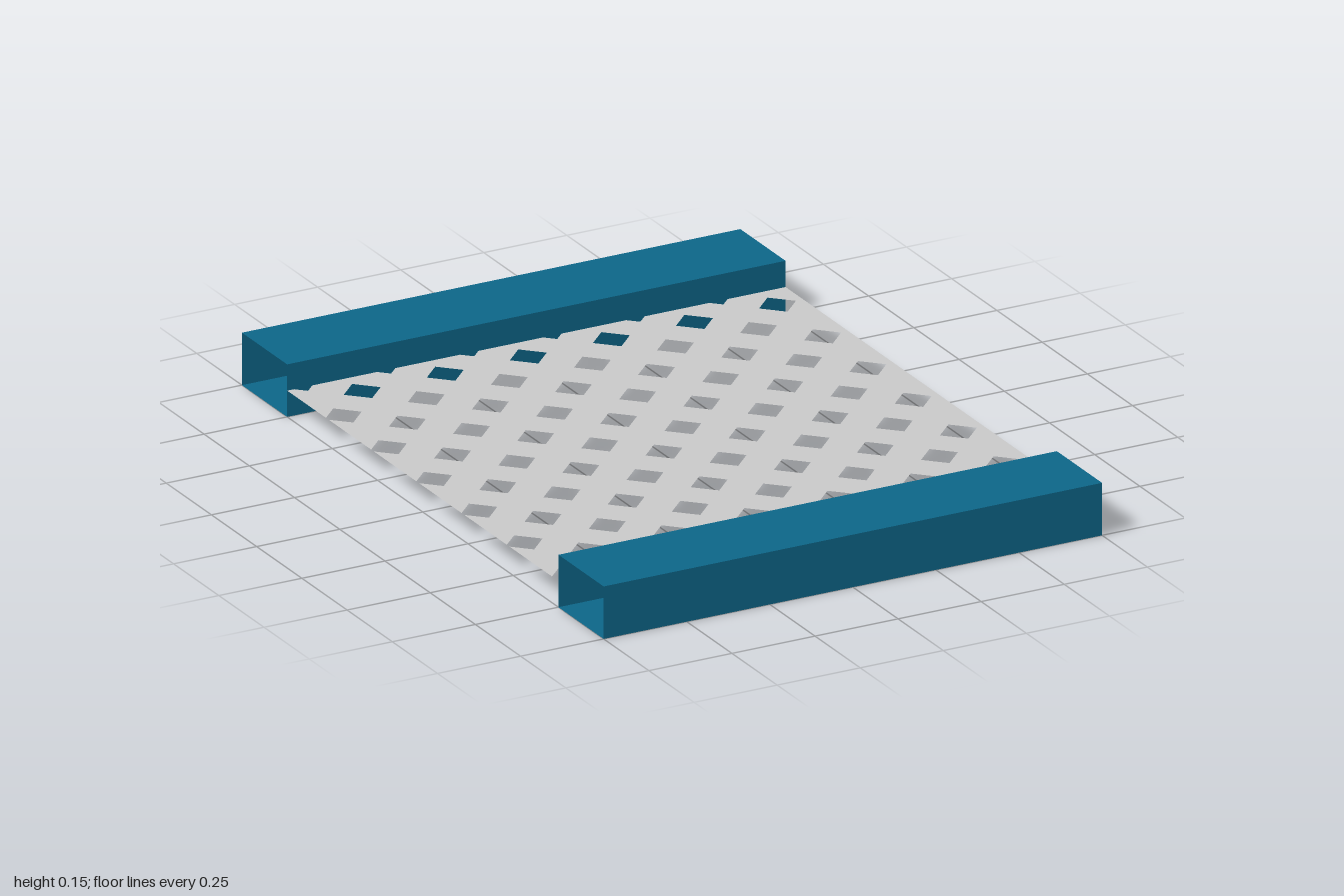
import * as THREE from 'three';

const HALF = 0.75;    // half width of the sheet and rails
const HEIGHT = 0.15;  // rail height
const DEPTH = 0.25;   // rail depth
const PITCH = 0.25;   // spacing of the holes
const R = 0.0555;     // half diagonal of a hole
const X0 = -0.702, Z0 = -0.778; // first hole of the lattice

const steel = new THREE.MeshStandardMaterial({ color: 0xc8c8c8, side: THREE.DoubleSide });
steel.name = 'grey steel';
const paint = new THREE.MeshStandardMaterial({ color: 0x0c6587, side: THREE.DoubleSide });
paint.name = 'teal paint';

// Seen from above: shape y points to -z
const pt = (x, z) => new THREE.Vector2(x, -z);

// Sheet outline, with notches where holes run over the edge
function sheetOutline() {
  const pts = [pt(-HALF, -HALF)];
  // back edge: tips of the first row
  const back = Z0 + R + HALF;
  for (let i = 0; i < 6; i++) {
    const x = X0 + i * PITCH;
    pts.push(pt(x - back, -HALF), pt(x, Z0 + R), pt(x + back, -HALF));
  }
  pts.push(pt(HALF, -HALF), pt(HALF, HALF));
  // front edge: last row, cut past its middle
  const zf = Z0 + 6 * PITCH, front = R - (HALF - zf);
  const side = R - (HALF + X0);
  for (let i = 5; i >= 0; i--) {
    const x = X0 + i * PITCH;
    pts.push(pt(x + front, HALF), pt(x + R, zf), pt(x, zf - R));
    if (i > 0) pts.push(pt(x - R, zf), pt(x - front, HALF));
  }
  pts.push(pt(-HALF, zf - side));
  // side edge: narrow openings of the first column
  for (let j = 5; j >= 1; j--) {
    const z = Z0 + j * PITCH;
    pts.push(pt(-HALF, z + side), pt(X0, z + R), pt(X0 + R, z), pt(X0, z - R), pt(-HALF, z - side));
  }
  return pts;
}

// Sheet with staggered diamond holes
function perforatedSheet() {
  const shape = new THREE.Shape(sheetOutline());
  const addHole = (x, z) => shape.holes.push(
    new THREE.Path([pt(x - R, z), pt(x, z - R), pt(x + R, z), pt(x, z + R)]));
  for (let i = 0; i < 6; i++) {
    for (let j = 0; j < 6; j++) {
      if (i > 0 && j > 0) addHole(X0 + i * PITCH, Z0 + j * PITCH);
      addHole(X0 + (i + 0.5) * PITCH, Z0 + (j + 0.5) * PITCH);
    }
  }
  return new THREE.ShapeGeometry(shape).rotateX(-Math.PI / 2);
}

// Thin-walled rectangular tube: a box without its two end caps
function openTube() {
  const geo = new THREE.BoxGeometry(2 * HALF, HEIGHT, DEPTH);
  geo.setIndex(Array.from(geo.index.array).slice(12));
  geo.clearGroups();
  return geo;
}

export function createModel() {
  const model = new THREE.Group();
  model.name = 'perforatedPanel';

  const sheet = new THREE.Mesh(perforatedSheet(), steel);
  sheet.name = 'perforatedSheet';
  sheet.position.y = HEIGHT / 2;
  model.add(sheet);

  // Hollow rails at front and back
  const tube = openTube();
  for (const s of [1, -1]) {
    const rail = new THREE.Mesh(tube, paint);
    rail.name = s > 0 ? 'frontRail' : 'backRail';
    rail.position.set(0, HEIGHT / 2, s * (1 - DEPTH / 2));
    model.add(rail);
  }
  return model;
}
